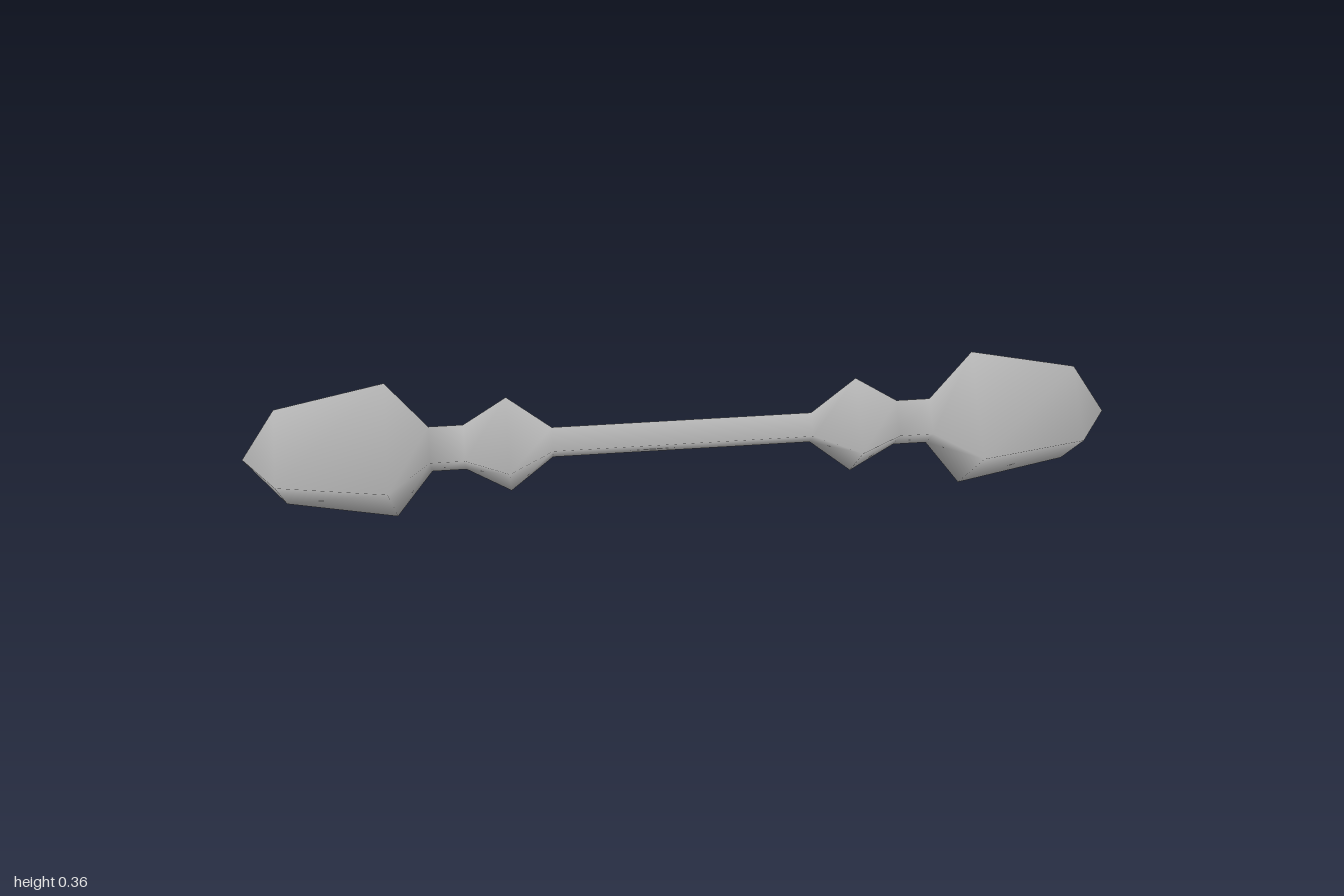
import * as THREE from 'three';

export function createModel() {
  const group = new THREE.Group();
  group.name = 'doubleEndedClub';
  const grey = new THREE.MeshStandardMaterial({ color: 0xb8b8b8 });
  grey.name = 'grey';

  // Half profile as [distance along the shaft, radius], from the tip inwards
  const half = [
    [1, 0],          // tip
    [0.915, 0.126],  // head shoulder
    [0.667, 0.179],  // widest part of the head
    [0.578, 0.06],   // neck
    [0.5, 0.06],
    [0.4, 0.126],    // knob
    [0.3, 0.04],     // grip
  ];
  const profile = [
    ...half.map(([d, r]) => new THREE.Vector2(r, -d)),
    ...half.slice().reverse().map(([d, r]) => new THREE.Vector2(r, d)),
  ];

  // One continuous four-sided turned body, laid along x with its corners on y and z
  const geometry = new THREE.LatheGeometry(profile, 4);
  geometry.rotateZ(-Math.PI / 2);
  const body = new THREE.Mesh(geometry, grey);
  body.name = 'shaftWithHeads';
  body.position.y = 0.179;
  group.add(body);
  return group;
}
